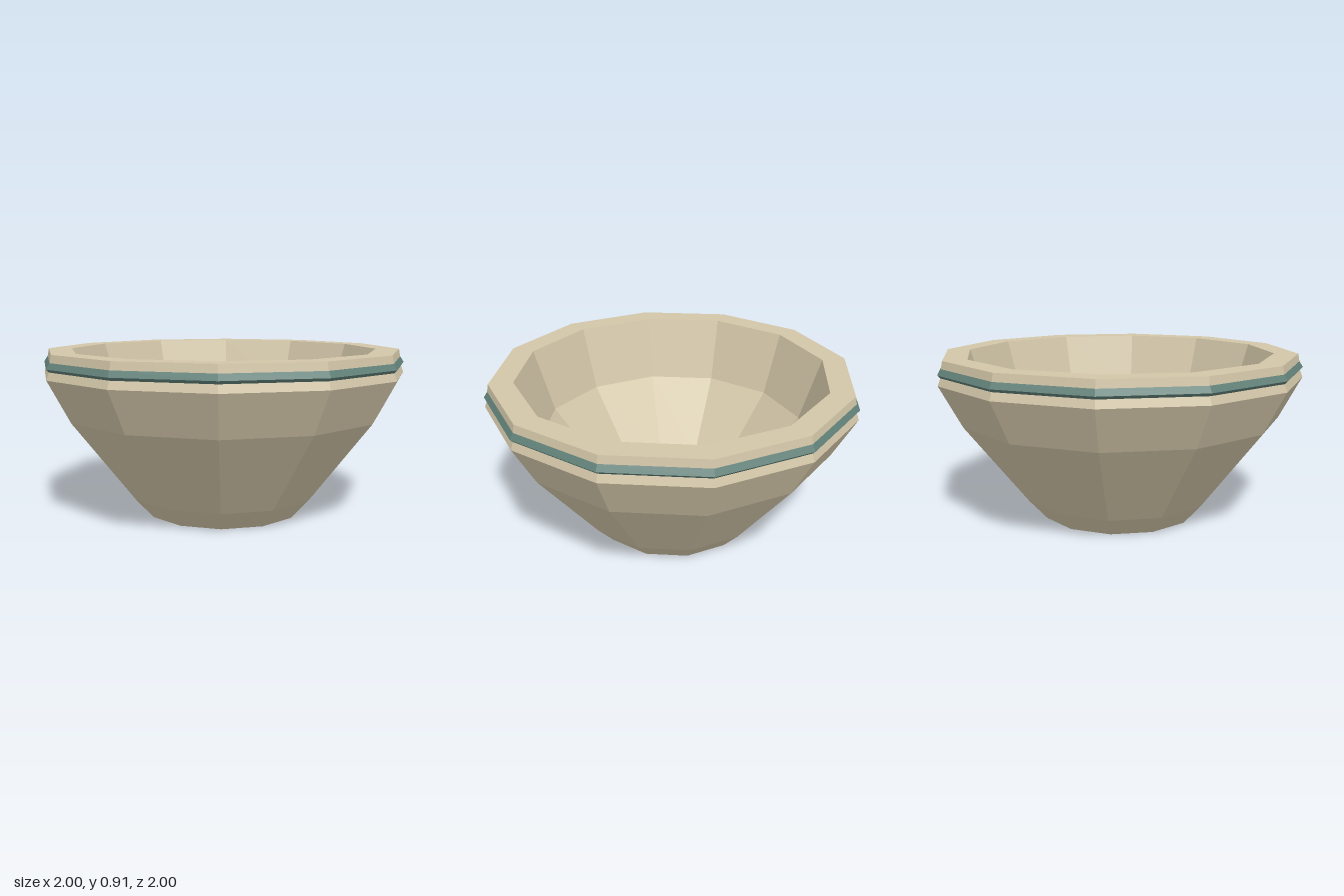
import * as THREE from 'three';

const SIDES = 12;

// Faceted turned part; profile is a list of [radius, height]
function turned(name, profile, color) {
  const points = profile.map(([r, y]) => new THREE.Vector2(r, y));
  const material = new THREE.MeshStandardMaterial({ color, flatShading: true });
  const mesh = new THREE.Mesh(new THREE.LatheGeometry(points, SIDES), material);
  mesh.name = name;
  return mesh;
}

export function createModel() {
  const group = new THREE.Group();
  group.name = 'bowl';

  // Thick-walled body: foot, outer wall, rim, then down the inner wall to the floor
  group.add(turned('bowlBody', [
    [0, 0], [0.435, 0], [0.535, 0.11], [0.88, 0.555], [1, 0.78],
    [0.985, 0.82], [0.98, 0.866], [0.972, 0.907],
    [0.843, 0.907], [0.732, 0.56], [0.415, 0.18], [0.1, 0.12], [0, 0.12],
  ], 0xd2c6a8));

  // Painted ridge running round the outside, just below the rim
  group.add(turned('rimBand', [
    [0.985, 0.82], [1, 0.835], [0.98, 0.866],
  ], 0x618078));

  return group;
}
